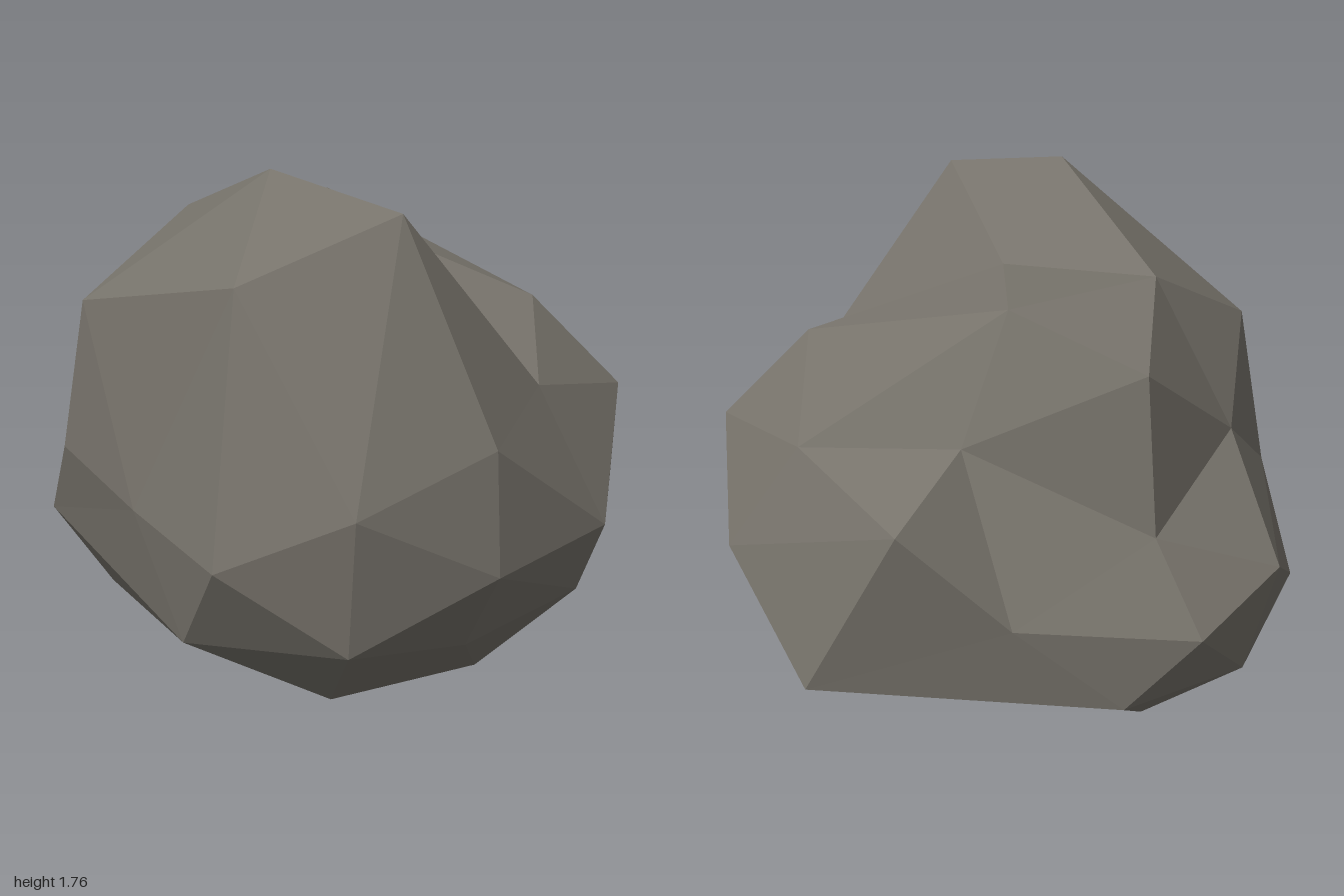
import * as THREE from 'three';

// A boulder: an icosahedron split once, its corners and edge midpoints set in rings of five.
const ring = (...n) => Array.from({ length: n.length / 3 }, (_, i) => n.slice(3 * i, 3 * i + 3));

// Corners
const crown = [0.39, 1.27, 0.55];
const upper = ring(0.56, 0.645, 0.78, -0.31, 0.98, 0.95, -0.49, 1.77, 0.18, 0.12, 1.38, -0.73, 0.84, 0.95, -0.34);
const lower = ring(-0.23, 0.265, 0.78, -0.975, 0.625, 0.39, -0.74, 0.76, -0.57, 0.12, 0.54, -0.985, 0.42, 0.08, 0.1);
const base = [-0.44, 0.14, -0.695];

// Edge midpoints, from the crown down to the base
const crownUpper = ring(0.6, 0.96, 0.77, 0.09, 1.07, 0.805, 0, 1.54, 0, 0.305, 1.54, -0.31, 0.73, 1.04, 0.23);
const upperUpper = ring(0.21, 0.61, 1.0, -0.41, 1.68, 0.65, -0.25, 1.54, -0.45, 0.5, 1.12, -0.29, 0.86, 0.645, 0.46);
const upperLower = ring(0.19, 0.365, 0.91, -0.74, 0.82, 0.76, -0.73, 1.29, -0.455, 0.125, 0.84, -0.785, 0.97, 0.34, -0.035);
const nextLower = ring(-0.315, 0.575, 0.975, -0.8, 1.47, 0.325, -0.38, 1.03, -0.69, 0.55, 0.585, -0.56, 0.575, 0.3, 0.505);
const lowerLower = ring(-0.705, 0.35, 0.7, -0.86, 0.68, -0.09, -0.27, 0.66, -0.995, 0.27, 0.27, -0.795, 0.107, 0.007, 0.56);
const lowerBase = ring(-0.445, 0.02, 0.39, -0.86, 0.285, 0.13, -0.6, 0.44, -0.82, -0.18, 0.29, -0.935, -0.045, 0.035, -0.615);

function boulderGeometry() {
  const points = [];
  // One large face becomes four facets
  const face = (a, b, c, ab, bc, ca) =>
    points.push(...a, ...ab, ...ca, ...ab, ...b, ...bc, ...ca, ...bc, ...c, ...ab, ...bc, ...ca);

  for (let i = 0; i < 5; i++) {
    const j = (i + 1) % 5;
    face(crown, upper[j], upper[i], crownUpper[j], upperUpper[i], crownUpper[i]);
    face(upper[i], upper[j], lower[i], upperUpper[i], nextLower[i], upperLower[i]);
    face(lower[i], upper[j], lower[j], nextLower[i], upperLower[j], lowerLower[i]);
    face(lower[i], lower[j], base, lowerLower[i], lowerBase[j], lowerBase[i]);
  }
  const geometry = new THREE.BufferGeometry();
  geometry.setAttribute('position', new THREE.Float32BufferAttribute(points, 3));
  geometry.computeVertexNormals(); // unshared corners give flat facets
  return geometry;
}

export function createModel() {
  const stone = new THREE.MeshStandardMaterial({ color: 0x77736b });
  stone.name = 'stone grey';

  const boulder = new THREE.Mesh(boulderGeometry(), stone);
  boulder.name = 'boulder';

  const group = new THREE.Group();
  group.name = 'rock';
  group.add(boulder);
  return group;
}
